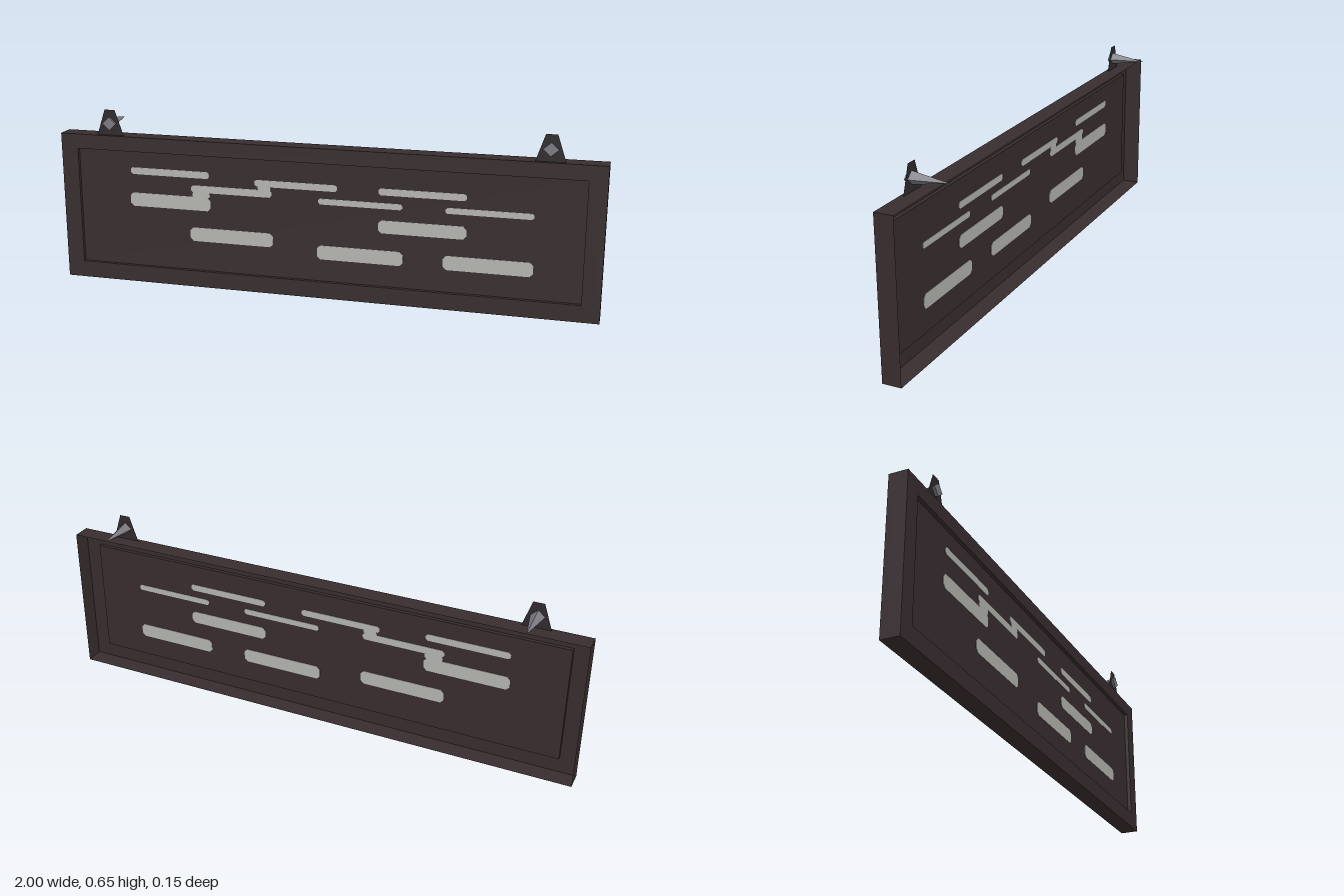
import * as THREE from 'three';

const BACK = 0.007, FRONT = 0.075, RECESS = 0.061;

// Corners of an upright rectangle at depth z, anticlockwise from the front
function rect(halfW, y0, y1, z) {
  return [[-halfW, y0, z], [halfW, y0, z], [halfW, y1, z], [-halfW, y1, z]];
}

// Joins rectangular loops with flat quads and closes the last one
function loftRects(loops) {
  const pos = [];
  const quad = (a, b, c, d) => pos.push(...a, ...b, ...c, ...a, ...c, ...d);
  for (let k = 0; k < loops.length - 1; k++) {
    for (let i = 0; i < 4; i++) {
      const j = (i + 1) % 4;
      quad(loops[k][i], loops[k][j], loops[k + 1][j], loops[k + 1][i]);
    }
  }
  quad(...loops[loops.length - 1]);
  const g = new THREE.BufferGeometry();
  g.setAttribute('position', new THREE.Float32BufferAttribute(pos, 3));
  g.computeVertexNormals();
  return g;
}

// Thin bar with clipped corners
function barGeometry(x0, x1, y0, y1) {
  const c = Math.min(0.012, (y1 - y0) * 0.3);
  const shape = new THREE.Shape([
    [x0 + c, y0], [x1 - c, y0], [x1, y0 + c], [x1, y1 - c],
    [x1 - c, y1], [x0 + c, y1], [x0, y1 - c], [x0, y0 + c],
  ].map(([x, y]) => new THREE.Vector2(x, y)));
  return new THREE.ExtrudeGeometry(shape, { depth: 0.003, bevelEnabled: false });
}

export function createModel() {
  const board = new THREE.MeshStandardMaterial({ color: 0x382d2f, side: THREE.DoubleSide });
  board.name = 'darkBoard';
  const hanger = new THREE.MeshStandardMaterial({ color: 0x302a2d, side: THREE.DoubleSide });
  hanger.name = 'hangerIron';
  const steel = new THREE.MeshStandardMaterial({ color: 0x7c7b82, flatShading: true });
  steel.name = 'spikeSteel';
  const pale = new THREE.MeshStandardMaterial({ color: 0xb4b4b0 });
  pale.name = 'paleBars';

  const model = new THREE.Group();
  model.name = 'wallSign';
  const add = (name, geometry, material, parent = model) => {
    const mesh = new THREE.Mesh(geometry, material);
    mesh.name = name;
    parent.add(mesh);
    return mesh;
  };

  // Shell open at the back, with a shallow panel sunk into the front
  add('signBoard', loftRects([
    rect(1, 0, 0.56, BACK),
    rect(1, 0, 0.56, FRONT),
    rect(0.935, 0.062, 0.505, FRONT),
    rect(0.935, 0.062, 0.505, RECESS),
  ]), board);

  // Pale bars, showing on both faces of the sunken panel: x0, x1, y0, y1
  const bars = new THREE.Group();
  bars.name = 'panelBars';
  model.add(bars);
  [
    [-0.73, -0.42, 0.417, 0.443],
    [-0.247, 0.063, 0.402, 0.427],
    [0.213, 0.527, 0.402, 0.427],
    [-0.493, -0.182, 0.363, 0.39],
    [-0.007, 0.3, 0.352, 0.374],
    [0.453, 0.76, 0.352, 0.374],
    [-0.735, -0.418, 0.294, 0.346],
    [0.213, 0.529, 0.262, 0.31],
    [-0.5, -0.178, 0.175, 0.228],
    [-0.012, 0.305, 0.145, 0.198],
    [0.448, 0.765, 0.145, 0.198],
    [-0.235, -0.185, 0.386, 0.405],
    [-0.488, -0.42, 0.343, 0.366],
  ].forEach((b, i) => {
    add(`bar${i + 1}`, barGeometry(...b), pale, bars).position.z = RECESS - 0.0015;
  });

  // Flat hanger tabs, each with a four-sided spike driven through to the back
  const tab = new THREE.ShapeGeometry(new THREE.Shape([
    [-0.052, 0.56], [0.052, 0.56], [0.02, 0.655], [-0.02, 0.655],
  ].map(([x, y]) => new THREE.Vector2(x, y))));
  const spike = new THREE.ConeGeometry(0.0245, 0.145, 4).rotateX(-Math.PI / 2);
  for (const [side, x] of [['left', 0.805], ['right', -0.805]]) {
    const mount = new THREE.Group();
    mount.name = `${side}Mount`;
    mount.position.x = x;
    model.add(mount);
    add('hangerTab', tab, hanger, mount).position.z = 0.061;
    const nail = add('spike', spike, steel, mount);
    nail.position.set(0, 0.6045, -0.0005);
    nail.scale.x = 1.12;
  }
  return model;
}
